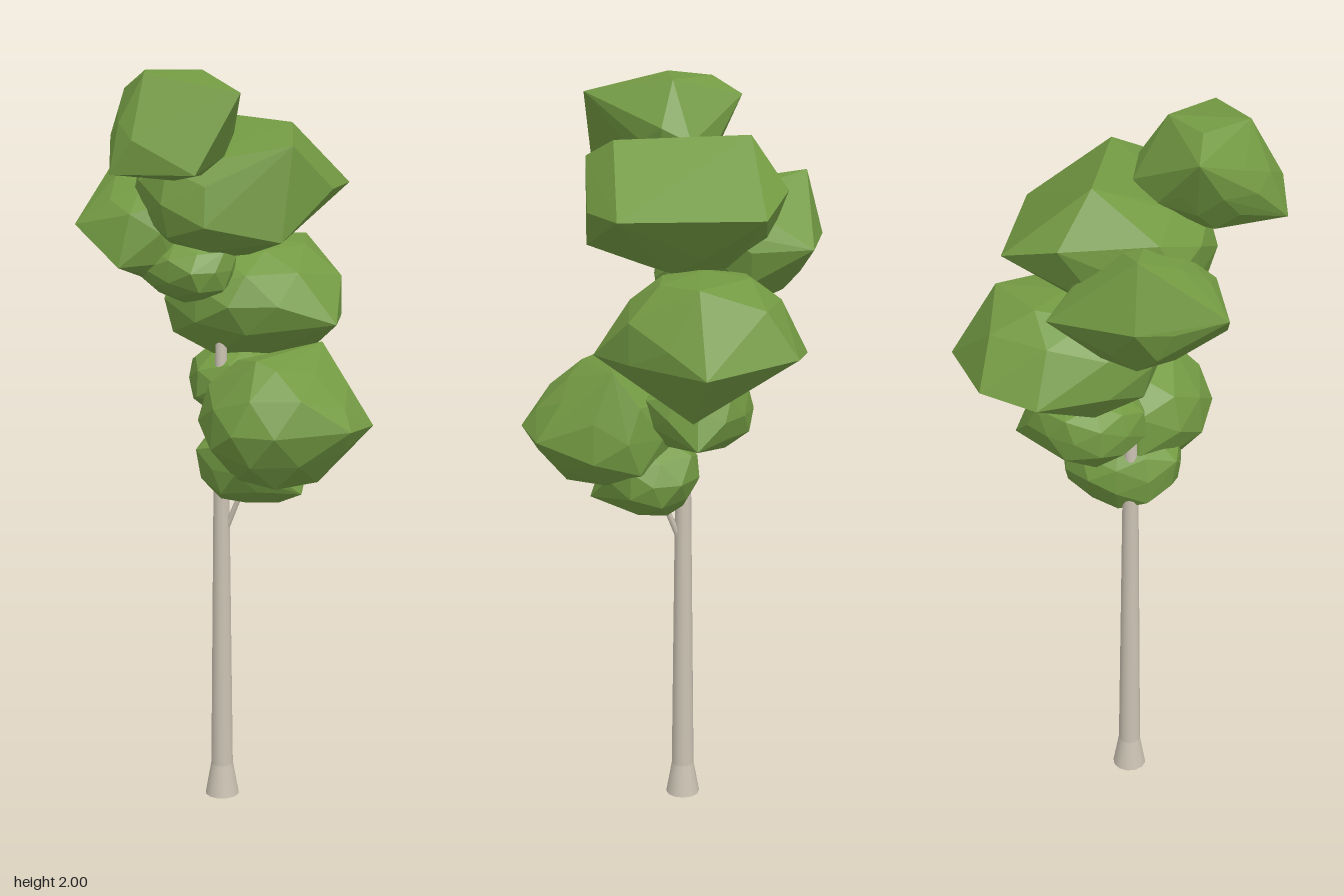
import * as THREE from 'three';
import { ConvexGeometry } from 'three/addons/geometries/ConvexGeometry.js';

// Small seeded generator
function seeded(seed) {
  let s = seed * 7919 + 17;
  return () => {
    s = (s * 16807) % 2147483647;
    return s / 2147483647;
  };
}

// Faceted leaf clump: hull around a jittered icosphere fitted to a box and a few outer corners
function clumpGeometry(min, max, corners, seed) {
  const rand = seeded(seed);
  const sphere = new THREE.IcosahedronGeometry(1, 1).rotateY(rand() * 3).attributes.position;
  const points = new Map();
  for (let i = 0; i < sphere.count; i++) {
    const p = new THREE.Vector3().fromBufferAttribute(sphere, i);
    const key = p.toArray().map((n) => Math.round(n * 1000)).join();
    if (!points.has(key)) points.set(key, p.multiplyScalar(0.9 + rand() * 0.14));
  }
  const body = [...points.values()];
  const have = new THREE.Box3().setFromPoints(body);
  const low = new THREE.Vector3(...min);
  const scale = new THREE.Vector3(...max).sub(low).divide(have.getSize(new THREE.Vector3()));
  for (const p of body) p.sub(have.min).multiply(scale).add(low);
  return new ConvexGeometry([...body, ...corners.map((c) => new THREE.Vector3(...c))]);
}

// Leaf clumps from bottom to top: box of the body, and the corners that stick out
const CLUMPS = [
  { name: 'lowestLeaves', min: [-0.17, 0.86, -0.07], max: [0.15, 1.1, 0.19],
    corners: [[0, 0.91, 0.22]] },
  { name: 'frontLeaves', min: [-0.24, 0.94, -0.04], max: [0.17, 1.27, 0.36],
    corners: [[-0.01, 1.11, 0.4], [0.12, 1.1, 0.36], [0.14, 1.29, 0.16], [-0.13, 1.28, 0.18]] },
  { name: 'innerLeaves', min: [-0.09, 1.07, -0.21], max: [0.22, 1.28, 0.08],
    corners: [[0.26, 1.11, -0.05]] },
  { name: 'leftLeaves', min: [-0.12, 1.22, -0.29], max: [0.35, 1.55, 0.15],
    corners: [[0.42, 1.34, -0.06], [0.3, 1.54, -0.05], [0.24, 1.18, -0.04],
      [0.15, 1.34, -0.34], [0.3, 1.36, -0.3], [0.14, 1.34, 0.21]] },
  { name: 'smallLeaves', min: [-0.22, 1.39, -0.25], max: [0, 1.58, 0.04], corners: [] },
  { name: 'backLeaves', min: [-0.28, 1.43, -0.37], max: [0.09, 1.75, -0.06],
    corners: [[-0.315, 1.6, -0.3], [-0.1, 1.6, -0.405], [0.12, 1.6, -0.355],
      [-0.3, 1.5, -0.15], [-0.1, 1.77, -0.36]] },
  { name: 'upperLeaves', min: [-0.26, 1.51, -0.26], max: [0.16, 1.84, 0.18],
    corners: [[0.25, 1.7, -0.22], [0.25, 1.7, 0.15], [0.03, 1.88, -0.2], [0.03, 1.87, 0.15],
      [-0.04, 1.82, 0.22], [-0.08, 1.58, 0.22], [0.11, 1.7, 0.22], [0.1, 1.75, -0.29]] },
  { name: 'topLeaves', min: [-0.41, 1.73, -0.15], max: [-0.05, 1.97, 0.13],
    corners: [[-0.33, 2, -0.01], [-0.13, 2, -0.01], [-0.225, 2, -0.12], [-0.225, 1.96, 0.22],
      [-0.225, 1.95, -0.2], [-0.36, 1.77, 0.2], [-0.43, 1.76, -0.03]] },
];

export function createModel() {
  const tree = new THREE.Group();
  tree.name = 'tree';
  const bark = new THREE.MeshStandardMaterial({ color: 0xcbc2b3 });
  bark.name = 'bark';
  const leaf = new THREE.MeshStandardMaterial({ color: 0x739a43, flatShading: true });
  leaf.name = 'leaf';
  const add = (name, geo, mat) => {
    const mesh = new THREE.Mesh(geo, mat);
    mesh.name = name;
    tree.add(mesh);
    return mesh;
  };

  // Trunk: flared foot, bare shaft, and a thin top inside the crown
  const trunkPart = (name, y0, y1, r0, r1) =>
    add(name, new THREE.CylinderGeometry(r1, r0, y1 - y0, 12), bark)
      .position.set(-0.045, (y0 + y1) / 2, -0.033);
  trunkPart('foot', 0, 0.09, 0.047, 0.031);
  trunkPart('trunk', 0.09, 0.9, 0.031, 0.022);
  trunkPart('trunkTop', 0.9, 1.72, 0.022, 0.008);

  // Branches running from the trunk to the middle of each clump
  const addBranch = (min, max) => {
    const tip = new THREE.Vector3(...min).add(new THREE.Vector3(...max)).multiplyScalar(0.5);
    const root = new THREE.Vector3(-0.043, tip.y - 0.23, -0.03);
    const along = tip.clone().sub(root);
    const mesh = add('branch', new THREE.CylinderGeometry(0.006, 0.009, along.length(), 6), bark);
    mesh.position.copy(root).add(tip).multiplyScalar(0.5);
    mesh.quaternion.setFromUnitVectors(new THREE.Vector3(0, 1, 0), along.normalize());
  };

  CLUMPS.forEach(({ name, min, max, corners }, i) => {
    add(name, clumpGeometry(min, max, corners, i + 3), leaf);
    addBranch(min, max);
  });

  return tree;
}
